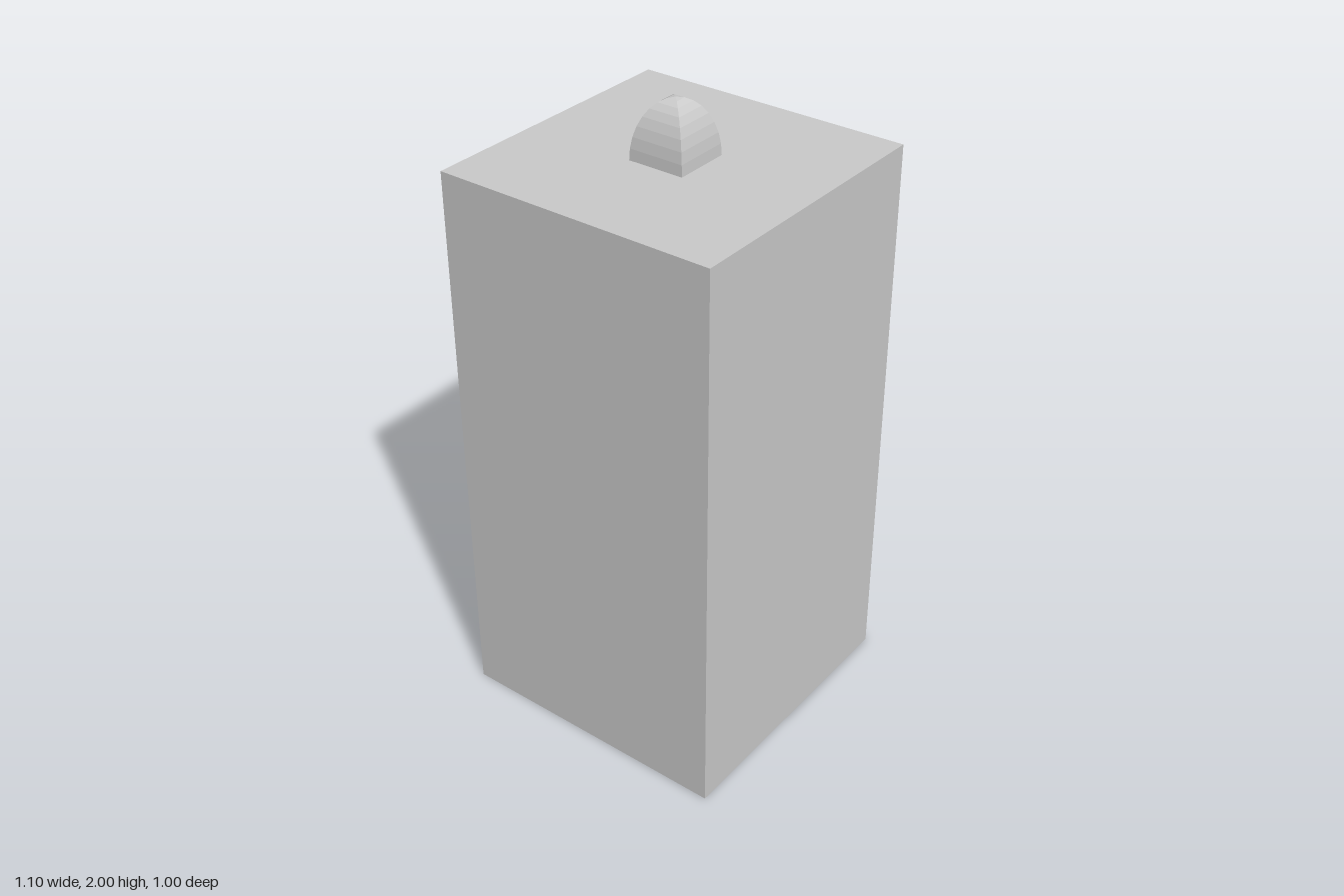
import * as THREE from 'three';
import { RoundedBoxGeometry } from 'three/addons/geometries/RoundedBoxGeometry.js';

const CX = -0.095, CZ = 0.043, FACE_Z = -0.412;
const W = 0.91, H = 1.82;

export function createModel() {
  const model = new THREE.Group();
  const mat = new THREE.MeshStandardMaterial({ color: 0xcccccc, flatShading: true });
  const inside = mat.clone();
  inside.side = THREE.BackSide;

  const add = (parent, name, geometry, x, y, z, material = mat) => {
    const mesh = new THREE.Mesh(geometry, material);
    mesh.name = name;
    mesh.position.set(x, y, z);
    parent.add(mesh);
    return mesh;
  };

  // Rectangle (optionally rounded) centred on x, y
  const rect = (path, x, y, w, h, r = 0) => {
    const a = x - w / 2, b = x + w / 2, c = y - h / 2, d = y + h / 2;
    path.moveTo(a + r, c).lineTo(b - r, c);
    if (r) path.quadraticCurveTo(b, c, b, c + r);
    path.lineTo(b, d - r);
    if (r) path.quadraticCurveTo(b, d, b - r, d);
    path.lineTo(a + r, d);
    if (r) path.quadraticCurveTo(a, d, a, d - r);
    path.lineTo(a, c + r);
    if (r) path.quadraticCurveTo(a, c, a + r, c);
    return path;
  };

  // Box without its -z face
  const openBox = (w, h, d) => {
    const g = new THREE.BoxGeometry(w, h, d);
    g.setIndex(Array.from(g.index.array).slice(0, 30));
    g.clearGroups();
    return g;
  };

  const relief = (shape, depth, bevel) => new THREE.ExtrudeGeometry(shape, {
    depth: depth - bevel, bevelEnabled: true, bevelThickness: bevel,
    bevelSize: bevel, bevelOffset: -bevel, bevelSegments: 2, curveSegments: 5,
  });

  // Cabinet shell
  add(model, 'cabinet', openBox(W, H, W), CX, H / 2, CZ);

  // Everything on the playing side, in a frame that faces outward along -z
  const panel = new THREE.Group();
  panel.name = 'playingSide';
  panel.position.set(CX, 0, FACE_Z);
  panel.rotation.y = Math.PI;
  model.add(panel);

  // Face of the cabinet with the payout opening
  const trayW = 0.546, trayBottom = 0.364, trayTop = 0.556, trayDepth = 0.12;
  const trayY = (trayBottom + trayTop) / 2, trayH = trayTop - trayBottom;
  const face = rect(new THREE.Shape(), 0, H / 2, W, H);
  face.holes.push(rect(new THREE.Path(), 0, trayY, trayW, trayH));
  add(panel, 'cabinetFace', new THREE.ShapeGeometry(face), 0, 0, 0);
  add(model, 'payoutRecess', openBox(trayW, trayH, trayDepth),
    CX, trayY, FACE_Z + trayDepth / 2, inside);
  add(panel, 'payoutHood', new THREE.BoxGeometry(trayW, 0.176, 0.088), 0, 0.644, 0.044);

  // Reel frame with three windows, each showing a stepped plate
  const reelY = 1.455, pitch = 0.173;
  const frame = rect(new THREE.Shape(), 0, reelY, 0.546, 0.364, 0.012);
  for (const i of [-1, 0, 1]) {
    frame.holes.push(rect(new THREE.Path(), i * pitch, reelY, 0.145, 0.31));
    const plate = new THREE.Shape([
      [-0.055, 0.13], [0.055, 0.13], [0.055, -0.01], [0.025, -0.01],
      [0.025, -0.13], [-0.025, -0.13], [-0.025, 0.03], [-0.055, 0.03],
    ].map(([x, y]) => new THREE.Vector2(x, y)));
    add(panel, 'reelPlate', relief(plate, 0.01, 0.002), i * pitch, reelY, 0);
  }
  add(panel, 'reelFrame', relief(frame, 0.018, 0.005), 0, 0, 0);

  // Coin slot rim
  const rim = rect(new THREE.Shape(), 0, 0, 0.038, 0.13, 0.017);
  rim.holes.push(rect(new THREE.Path(), 0, 0, 0.014, 0.1, 0.005));
  add(panel, 'coinSlot', relief(rim, 0.015, 0.003), 0.255, 1.168, 0);

  // Lever: pivot block, arm and knob
  const lever = new THREE.Group();
  lever.name = 'lever';
  model.add(lever);
  const px = 0.453, kx = 0.445;
  add(lever, 'leverPivot', new RoundedBoxGeometry(0.182, 0.182, 0.182, 1, 0.005), px, 1.332, CZ);
  const from = new THREE.Vector3(kx, 1.307, 0), to = new THREE.Vector3(kx, 1.553, -0.39);
  const arm = add(lever, 'leverArm',
    new THREE.BoxGeometry(0.078, 0.063, from.distanceTo(to)), 0, 0, 0);
  arm.position.lerpVectors(from, to, 0.5);
  arm.lookAt(to);
  add(lever, 'leverKnob', new THREE.SphereGeometry(0.102, 32, 16), kx, 1.553, -0.396);

  // Four-sided domed lamp on the roof
  const profile = Array.from({ length: 9 }, (_, i) => {
    const a = (i / 8) * Math.PI / 2;
    return new THREE.Vector2(Math.max(0, 0.091 * Math.SQRT2 * Math.cos(a)), 0.18 * Math.sin(a));
  });
  add(model, 'roofLamp', new THREE.LatheGeometry(profile, 4).rotateY(Math.PI / 4), CX, H, CZ);

  return model;
}
